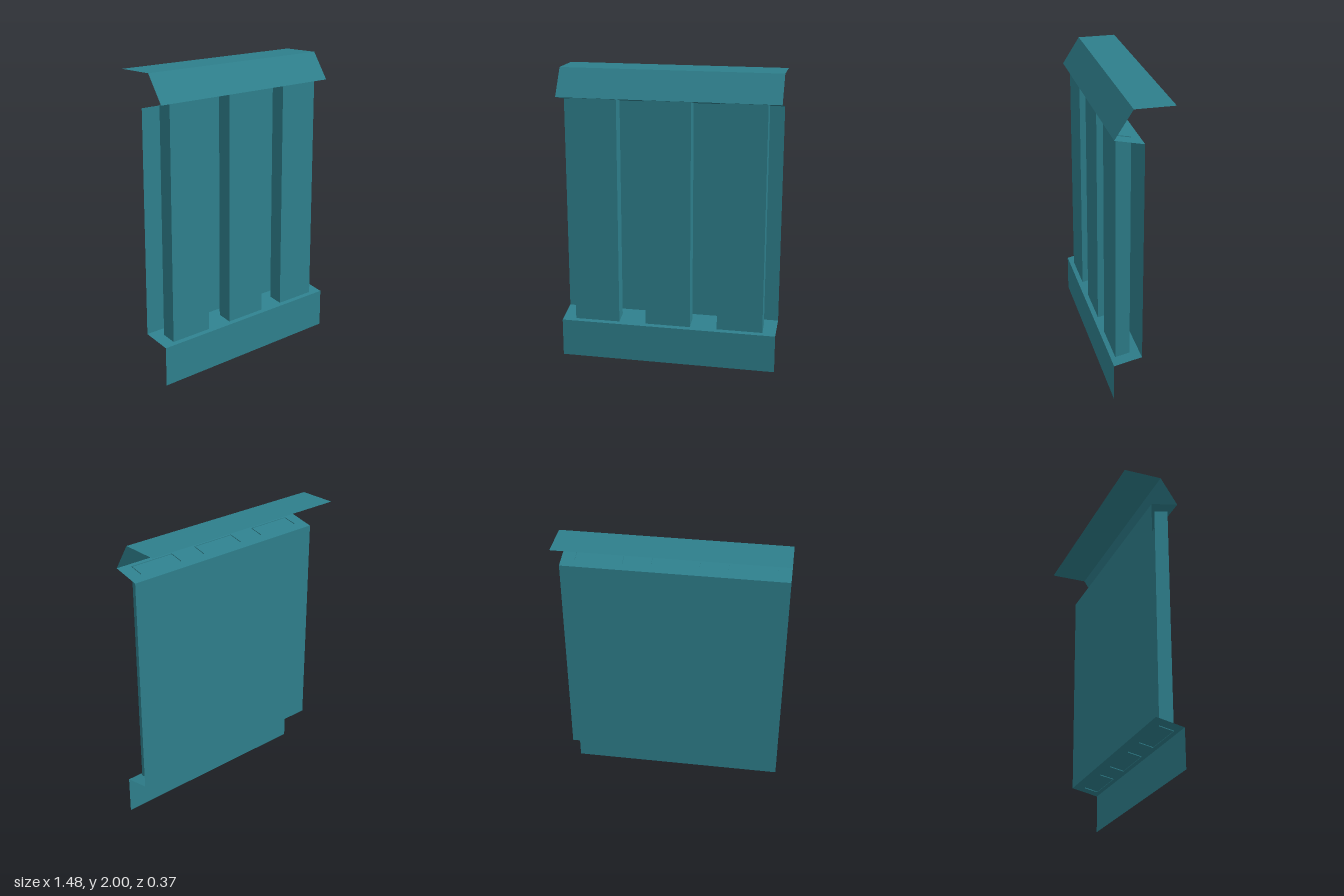
import * as THREE from 'three';

const HALF_WIDTH = 0.74;
const teal = new THREE.MeshStandardMaterial({
  color: 0x2e7f8c, flatShading: true, side: THREE.DoubleSide,
});

// Flat four-cornered sheet; corners run counter-clockwise seen from its outer side.
function sheet(name, corners) {
  const geometry = new THREE.BufferGeometry();
  geometry.setAttribute('position', new THREE.Float32BufferAttribute(corners.flat(), 3));
  geometry.setIndex([0, 1, 2, 0, 2, 3]);
  geometry.computeVertexNormals();
  const mesh = new THREE.Mesh(geometry, teal);
  mesh.name = name;
  return mesh;
}

// Full-width strip between two [y, z] profile points, listed bottom to top.
function strip(name, [y0, z0], [y1, z1]) {
  const w = HALF_WIDTH;
  return sheet(name, [[-w, y0, z0], [w, y0, z0], [w, y1, z1], [-w, y1, z1]]);
}

// Open channel standing between the two sloping ledges, its ends cut to their slope.
function pilaster(centre, width) {
  const group = new THREE.Group();
  group.name = 'pilaster';
  const l = centre - width / 2, r = centre + width / 2;
  const front = 0.155, back = 0.06;
  const [frontLow, frontHigh, backLow, backHigh] = [0.262, 1.818, 0.281, 1.799];
  group.add(
    sheet('pilasterFront', [[l, frontLow, front], [r, frontLow, front], [r, frontHigh, front], [l, frontHigh, front]]),
    sheet('pilasterRightSide', [[l, backLow, back], [l, frontLow, front], [l, frontHigh, front], [l, backHigh, back]]),
    sheet('pilasterLeftSide', [[r, frontLow, front], [r, backLow, back], [r, backHigh, back], [r, frontHigh, front]]),
  );
  return group;
}

export function createModel() {
  const model = new THREE.Group();
  model.name = 'wallPanel';

  // Folded sheet from the foot of the plinth to the back of the roof
  const profile = [
    [0, 0.185], [0.26, 0.185], [0.3, 0], [1.78, 0], [1.82, 0.185], [2, 0.07], [2, -0.185],
  ];
  const names = ['plinth', 'lowerLedge', 'backWall', 'upperLedge', 'corniceFascia', 'roof'];
  names.forEach((name, i) => model.add(strip(name, profile[i], profile[i + 1])));

  // Three evenly spaced pilasters
  for (const x of [-0.495, 0, 0.495]) model.add(pilaster(x, 0.31));

  return model;
}
